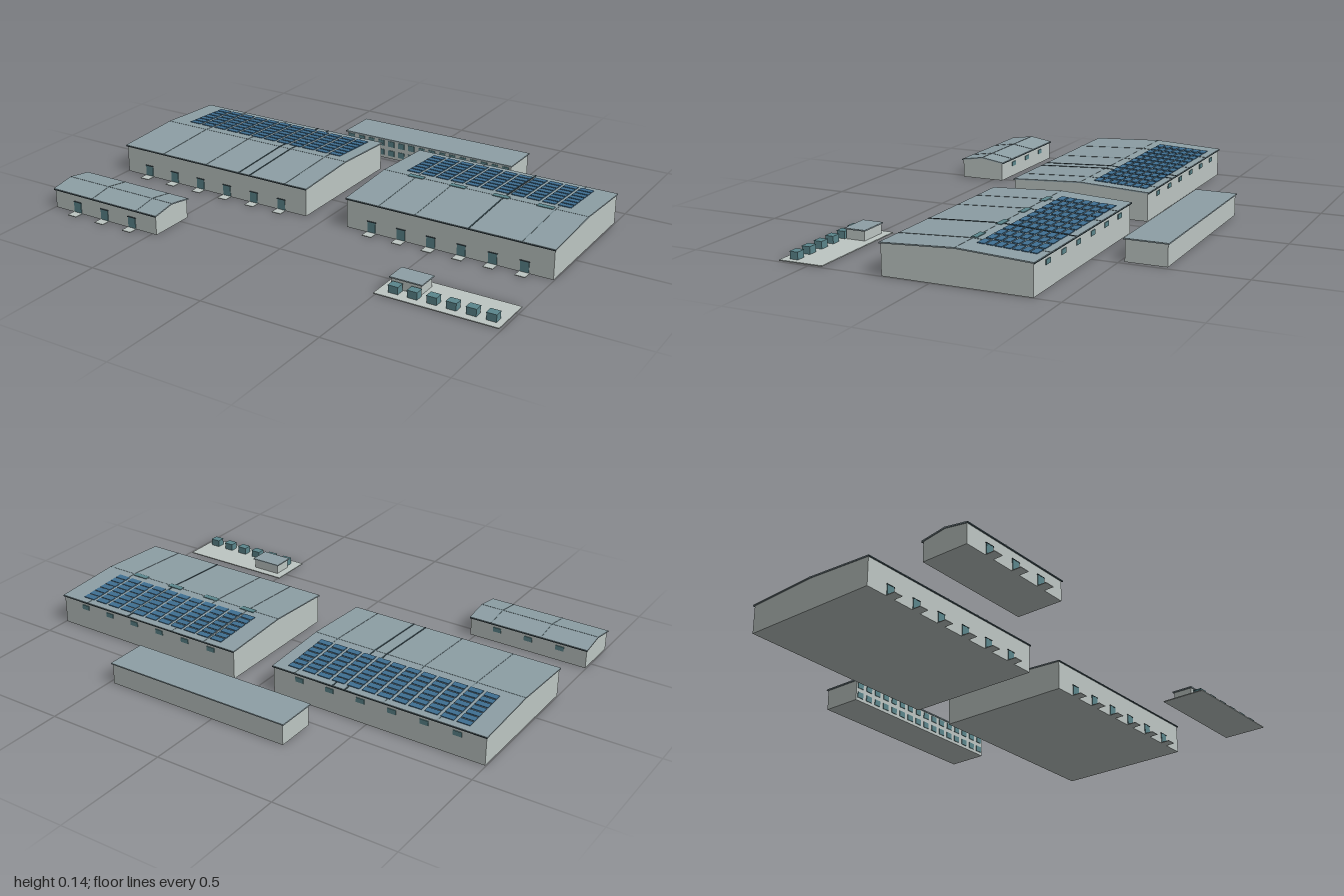
import * as THREE from 'three';

const mat = (name, color, double) => {
  const m = new THREE.MeshStandardMaterial({ color });
  m.name = name;
  if (double) m.side = THREE.DoubleSide;
  return m;
};

export function createModel() {
  const wallMat = mat('paleWall', 0xbdc6c3);
  const roofMat = mat('slateRoof', 0x8d9fa5);
  const tealMat = mat('tealGlazing', 0x5b868c);
  const solarMat = mat('solarBlue', 0x3f6f92);
  const trimMat = mat('darkTrim', 0x36474d);
  const seamMat = mat('roofSeam', 0x76898f);

  const model = new THREE.Group();
  model.name = 'industrialSite';

  // Box given by its limits on each axis
  const box = (parent, name, material, x0, x1, y0, y1, z0, z1) => {
    const mesh = new THREE.Mesh(new THREE.BoxGeometry(x1 - x0, y1 - y0, z1 - z0), material);
    mesh.position.set((x0 + x1) / 2, (y0 + y1) / 2, (z0 + z1) / 2);
    mesh.name = name;
    parent.add(mesh);
    return mesh;
  };

  // Extrudes a (z, y) outline along x
  const prism = (parent, name, material, points, x0, x1) => {
    const shape = new THREE.Shape(points.map(([z, y]) => new THREE.Vector2(z, y)));
    const geo = new THREE.ExtrudeGeometry(shape, { depth: x1 - x0, bevelEnabled: false });
    geo.rotateY(-Math.PI / 2).translate(x1, 0, 0);
    const mesh = new THREE.Mesh(geo, material);
    mesh.name = name;
    parent.add(mesh);
  };

  // Gabled building with front doors, pads and high rear windows
  function gabled(name, { x0, x1, z0, z1, eave, ridge, doors, seams, darkSeams = [] }) {
    const g = new THREE.Group();
    g.name = name;
    model.add(g);
    const zm = (z0 + z1) / 2, half = (z1 - z0) / 2, t = 0.005, inset = 0.005;
    const pitch = Math.atan2(ridge - eave, half);
    const roofY = (z) => ridge - (ridge - eave) * Math.abs(z - zm) / half;

    prism(g, 'walls', wallMat, [
      [z0 + inset, 0], [z1 - inset, 0], [z1 - inset, eave - t + 0.0005],
      [zm, ridge - t + 0.0005], [z0 + inset, eave - t + 0.0005],
    ], x0 + 0.004, x1 - 0.004);
    prism(g, 'roof', roofMat, [
      [z0, eave - t], [zm, ridge - t], [z1, eave - t], [z1, eave], [zm, ridge], [z0, eave],
    ], x0, x1);

    // Eave trim and ridge cap
    for (const z of [z0, z1]) box(g, 'eaveTrim', trimMat, x0, x1, eave - t - 0.001, eave - 0.002, z - 0.001, z + 0.001);
    box(g, 'ridgeCap', seamMat, x0, x1, ridge - 0.001, ridge + 0.0006, zm - 0.002, zm + 0.002);

    // Plate lying on the roof slope
    const onRoof = (part, material, x, z, w, d, h) => {
      const plate = box(g, part, material, x - w / 2, x + w / 2, 0, h, -d / 2, d / 2);
      plate.position.set(x, roofY(z) + h / 2, z);
      plate.rotation.x = z < zm ? -pitch : pitch;
    };
    for (const side of [-1, 1]) {
      const z = zm + side * half / 2, d = half / Math.cos(pitch);
      seams.forEach((x) => onRoof('roofSeam', seamMat, x, z, 0.004, d, 0.0012));
      darkSeams.forEach((x) => onRoof('expansionJoint', trimMat, x, z, 0.006, d, 0.0016));
    }

    doors.forEach((x) => {
      box(g, 'door', tealMat, x - 0.018, x + 0.018, 0.002, 0.046, z1 - inset, z1 - inset + 0.003);
      box(g, 'doorLintel', trimMat, x - 0.02, x + 0.02, 0.046, 0.049, z1 - inset, z1 - inset + 0.004);
      box(g, 'doorPad', wallMat, x - 0.021, x + 0.021, 0, 0.003, z1 - inset, z1 + 0.035);
      box(g, 'rearWindow', tealMat, x - 0.018, x + 0.018, eave - 0.037, eave - 0.018, z0 + inset - 0.003, z0 + inset);
    });
    return { g, onRoof, ridge, zm };
  }

  // Rows of solar panels on the rear slope
  function solarArray(building, x0, columns) {
    for (let c = 0; c < columns; c++)
      for (let r = 0; r < 7; r++)
        building.onRoof('solarPanel', solarMat, x0 + 0.027 + c * 0.0664, -0.356 + r * 0.0335, 0.054, 0.027, 0.003);
  }

  const spread = (first, last, n) => Array.from({ length: n }, (_, i) => first + (last - first) * i / (n - 1));

  const westHall = gabled('westHall', {
    x0: -1, x1: -0.077, z0: -0.4, z1: 0.2, eave: 0.121, ridge: 0.136,
    doors: spread(-0.88, -0.2, 6), seams: [-0.797, -0.573, -0.18], darkSeams: [-0.406, -0.352],
  });
  solarArray(westHall, -0.915, 12);

  const eastHall = gabled('eastHall', {
    x0: 0.108, x1: 1, z0: -0.4, z1: 0.2, eave: 0.125, ridge: 0.141,
    doors: spread(0.225, 0.88, 6), seams: [0.257, 0.417, 0.866], darkSeams: [0.647],
  });
  solarArray(eastHall, 0.193, 11);
  // Ridge skylights
  for (const x of spread(0.257, 0.824, 4))
    box(eastHall.g, 'ridgeSkylight', tealMat, x - 0.034, x + 0.034, 0.138, 0.143, -0.114, -0.09);

  gabled('smallShed', {
    x0: -1, x1: -0.475, z0: 0.45, z1: 0.655, eave: 0.083, ridge: 0.099,
    doors: spread(-0.88, -0.6, 3), seams: [-0.797, -0.573],
  });

  // Flat-roofed office with two storeys of front windows
  const office = new THREE.Group();
  office.name = 'office';
  model.add(office);
  box(office, 'officeWalls', wallMat, -0.325, 0.48, 0, 0.086, -0.685, -0.519);
  box(office, 'officeRoof', roofMat, -0.331, 0.485, 0.086, 0.091, -0.69, -0.514);
  for (const x of spread(-0.313, 0.468, 16).map((v) => v * 0.97 + 0.002))
    for (const y of [0.013, 0.056])
      box(office, 'officeWindow', tealMat, x - 0.015, x + 0.015, y, y + 0.025, -0.519, -0.516);

  // Service yard with kiosk and row of bins
  const yard = new THREE.Group();
  yard.name = 'serviceYard';
  model.add(yard);
  box(yard, 'yardSlab', wallMat, 0.492, 0.99, 0, 0.004, 0.448, 0.632);
  box(yard, 'kioskWalls', wallMat, 0.525, 0.648, 0.004, 0.043, 0.48, 0.561);
  box(yard, 'kioskRoof', roofMat, 0.519, 0.654, 0.043, 0.048, 0.475, 0.566);
  for (const x of spread(0.555, 0.945, 6)) {
    box(yard, 'storageUnit', tealMat, x - 0.02, x + 0.02, 0.004, 0.031, 0.567, 0.601);
    box(yard, 'storageLid', tealMat, x - 0.021, x + 0.021, 0.031, 0.034, 0.566, 0.602);
  }

  return model;
}
